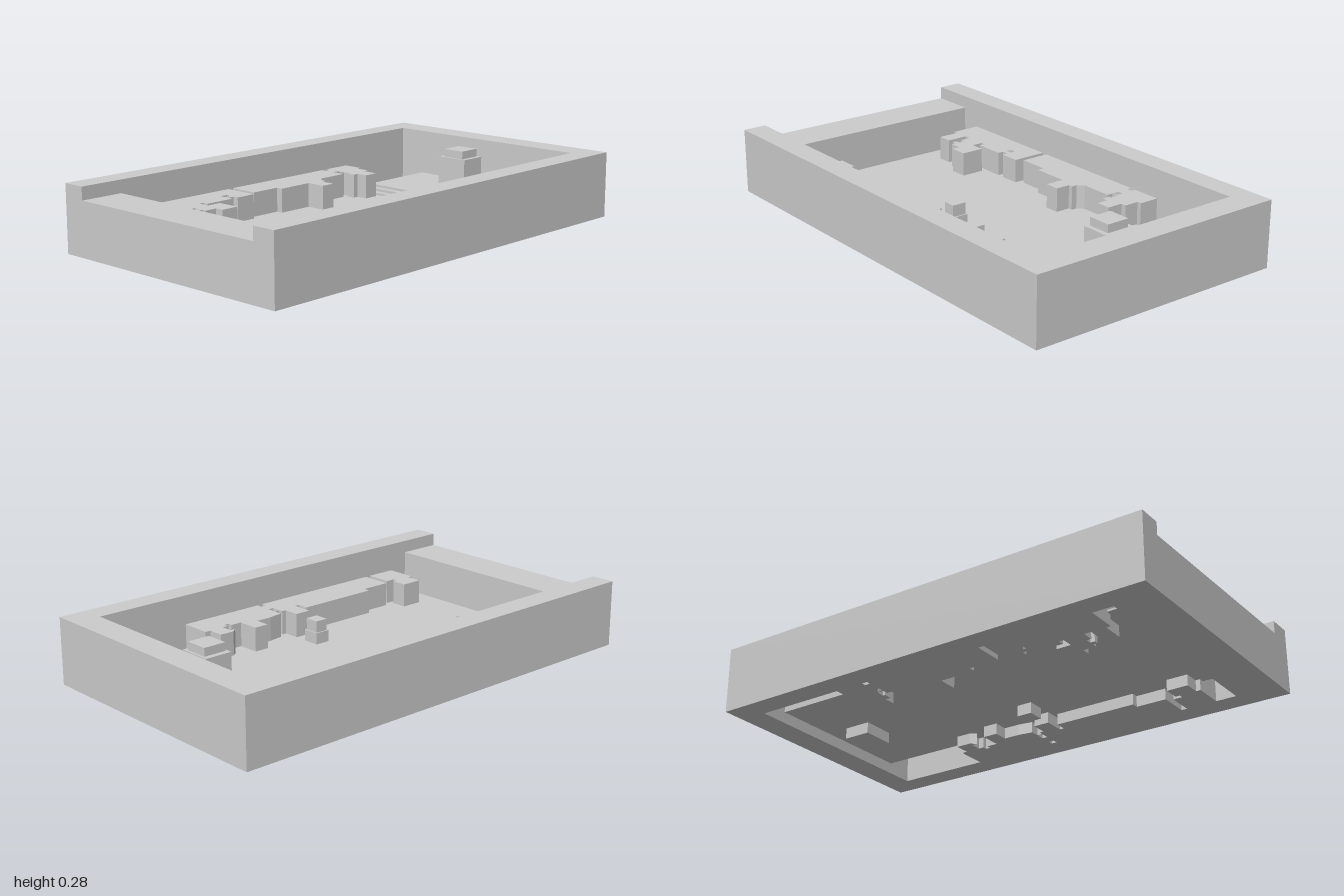
import * as THREE from 'three';

const material = new THREE.MeshStandardMaterial({ color: 0xcccccc, flatShading: true });

// Outline of [x, z] pairs given in hundredths, as a path on the ground plane
const trace = (path, pts) => {
  pts.forEach(([x, z], i) => path[i ? 'lineTo' : 'moveTo'](x / 100, -z / 100));
  path.closePath();
  return path;
};

export function createModel() {
  const model = new THREE.Group();

  const add = (name, geometry) => {
    const mesh = new THREE.Mesh(geometry, material);
    mesh.name = name;
    model.add(mesh);
    return mesh;
  };

  // Box from its limits
  const block = (name, x0, x1, y0, y1, z0, z1) =>
    add(name, new THREE.BoxGeometry(x1 - x0, y1 - y0, z1 - z0))
      .position.set((x0 + x1) / 2, (y0 + y1) / 2, (z0 + z1) / 2);

  // Plan outline raised from the ground, with optional rectangular slots
  const raise = (name, pts, height, slots = []) => {
    const shape = trace(new THREE.Shape(), pts);
    slots.forEach(([x0, x1, z0, z1]) =>
      shape.holes.push(trace(new THREE.Path(), [[x0, z0], [x1, z0], [x1, z1], [x0, z1]])));
    const geometry = new THREE.ExtrudeGeometry(shape, { depth: height, bevelEnabled: false });
    add(name, geometry.rotateX(-Math.PI / 2));
  };

  // Surrounding wall, open at the front, and the lower front sill
  raise('outerWall', [[-58.3, 100], [-58.3, -100], [58.3, -100], [58.3, 100],
    [48, 100], [48, -88], [-48, -88], [-48, 100]], 0.285);
  block('frontSill', -0.48, 0.48, 0, 0.23, 0.81, 1);

  // Raised floor, steps and rear platform
  block('floor', -0.375, 0.37, 0.048, 0.056, -0.46, 0.8);
  [[-0.46, 0.066], [-0.49, 0.077], [-0.52, 0.087]].forEach(([front, top], i, steps) => {
    const back = i < 2 ? steps[i + 1][0] : -0.88;
    block(i < 2 ? 'step' : 'rearPlatform', -0.36, 0.357, 0.048, top, back, front);
  });

  // Stepped blocks along the -x side
  const H = 0.16;
  raise('rightRearBlocks', [[-48, -48.5], [-39, -48.5], [-39, -46.5], [-32.5, -46.5],
    [-32.5, -44], [-25.5, -44], [-25.5, -37.5], [-30.5, -37.5], [-30.5, -35], [-34, -35],
    [-34, -36], [-37.5, -36], [-37.5, -33], [-35, -33], [-35, -19], [-32.5, -16.5],
    [-30, -16.5], [-30, -14.5], [-23.5, -14.5], [-23.5, -8], [-32, -8], [-32, 8],
    [-35, 8], [-35, 21.5], [-48, 21.5]], H,
  [[-47.9, -46, -35.5, -33], [-41, -38, -35.5, -33]]);
  raise('rightFrontBlocks', [[-48, 24], [-32.5, 24], [-32.5, 33], [-35, 33], [-35, 36],
    [-32.5, 36], [-32.5, 49.5], [-35, 49.5], [-35, 51.5], [-30, 51.5], [-30, 45],
    [-19.8, 45], [-19.8, 53], [-23.5, 53], [-23.5, 58.5], [-25.5, 58.5], [-25.5, 60.5],
    [-27.5, 60.5], [-27.5, 58.5], [-30, 58.5], [-30, 60.5], [-35, 60.5], [-35, 63.5],
    [-25.5, 63.5], [-25.5, 70], [-35, 70], [-35, 72], [-48, 72]], H,
  [[-39.5, -37, 33, 36]]);

  // Stepped blocks along the +x side
  raise('leftRearBlocks', [[48, -46.5], [34.5, -46.5], [34.5, -44], [27.5, -44],
    [27.5, -37.5], [29.5, -35], [29.5, -37.5], [34.5, -37.5], [34.5, -35], [36.5, -35],
    [36.5, -33], [34.5, -33], [34.5, -28], [25, -28], [25, -21.5], [31.5, -21.5],
    [31.5, -14.5], [32.5, -8], [36.5, -8], [36.5, -5.5], [34.5, -5.5], [34.5, -3.5],
    [27.5, -3.5], [27.5, 3.5], [36.5, 3.5], [36.5, 5.5], [31.5, 5.5], [31.5, 42.5],
    [34.5, 42.5], [34.5, 56], [48, 56]], H,
  [[37, 40.5, -8, -5.5], [45.5, 47.9, -8, -5.5]]);
  raise('leftFrontBlocks', [[48, 58.5], [36.5, 58.5], [36.5, 62.5], [34.5, 62.5],
    [34.5, 60.5], [27.5, 60.5], [27.5, 70], [34.5, 70], [34.5, 72], [48, 72]], H);

  // Rear pedestal with its cap
  block('pedestal', -0.075, 0.07, 0, 0.23, -0.78, -0.66);
  block('pedestalCap', -0.052, 0.05, 0.23, 0.265, -0.77, -0.67);

  // Small stacked post on the open floor
  block('postBase', 0.147, 0.222, 0, 0.105, -0.035, 0.033);
  block('postTop', 0.153, 0.216, 0.105, 0.155, -0.029, 0.027);

  return model;
}
